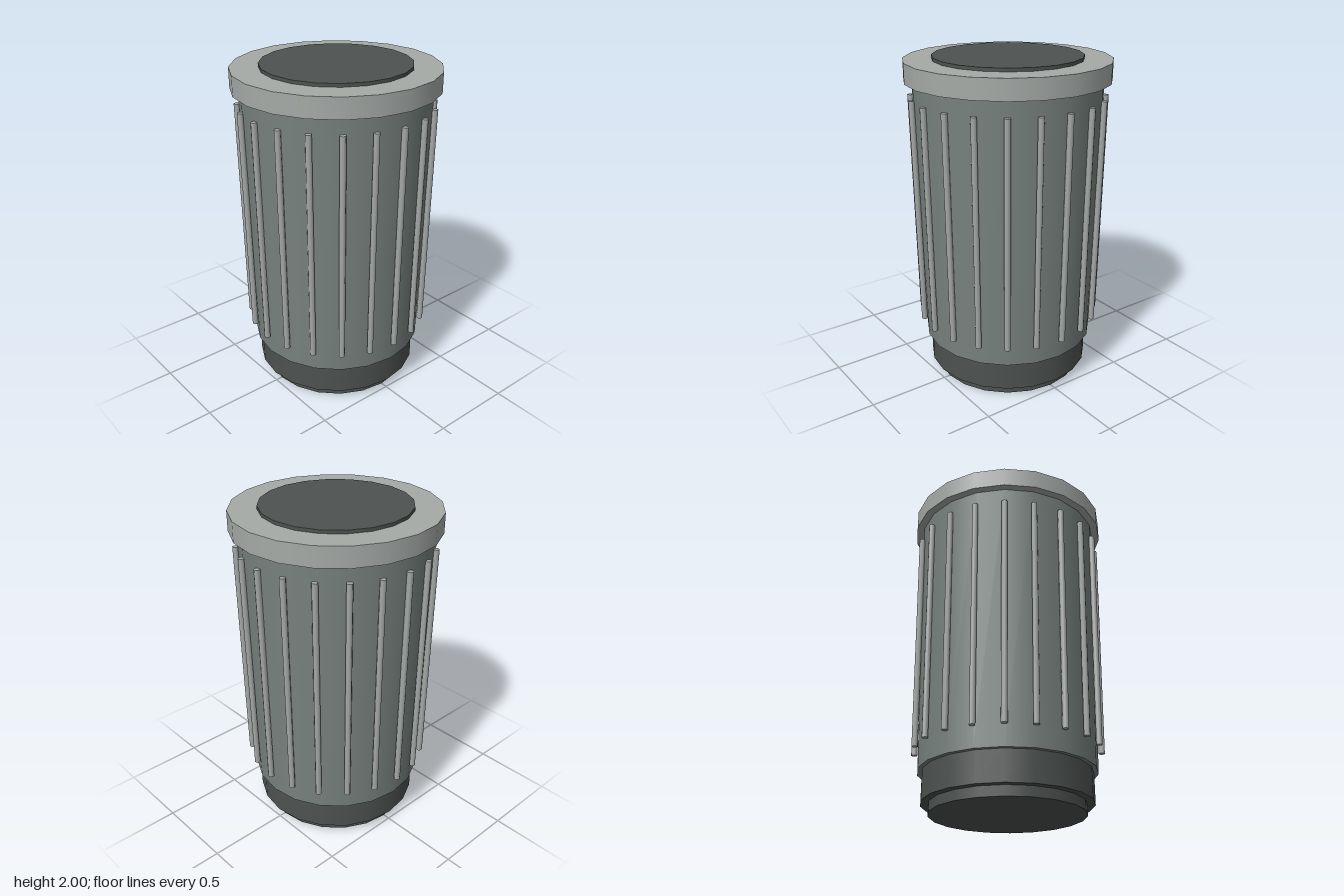
import * as THREE from 'three';

const SIDES = 20;
const paint = (color) => new THREE.MeshStandardMaterial({ color });

export function createModel() {
  const model = new THREE.Group();
  model.name = 'trashCan';

  const dark = paint(0x4d5250);
  const bodyGrey = paint(0x78827e);
  const lightGrey = paint(0xa5aaa7);

  // Stacked round section from y0 to y1
  const section = (name, rBottom, rTop, y0, y1, material) => {
    const geometry = new THREE.CylinderGeometry(rTop, rBottom, y1 - y0, SIDES);
    const mesh = new THREE.Mesh(geometry, material);
    mesh.name = name;
    mesh.position.y = (y0 + y1) / 2;
    model.add(mesh);
  };

  section('foot', 0.458, 0.458, 0, 0.065, dark);
  section('base', 0.504, 0.504, 0.06, 0.245, dark);
  section('body', 0.53, 0.566, 0.243, 1.87, bodyGrey);
  section('rim', 0.612, 0.612, 1.86, 1.98, lightGrey);
  section('opening', 0.444, 0.444, 1.979, 2, dark);

  // Slim upright ribs around the body, leaning with its taper
  const ribs = new THREE.Group();
  ribs.name = 'ribs';
  const y0 = 0.365, y1 = 1.765, r0 = 0.554, r1 = 0.575;
  const ribGeometry = new THREE.CylinderGeometry(0.0185, 0.0185, y1 - y0, 8);
  ribGeometry.rotateX(Math.atan2(r1 - r0, y1 - y0));
  ribGeometry.translate(0, (y0 + y1) / 2, (r0 + r1) / 2);
  for (let i = 0; i < SIDES; i++) {
    const rib = new THREE.Mesh(ribGeometry, lightGrey);
    rib.name = 'rib';
    rib.rotation.y = (i / SIDES) * Math.PI * 2;
    ribs.add(rib);
  }
  model.add(ribs);

  return model;
}
